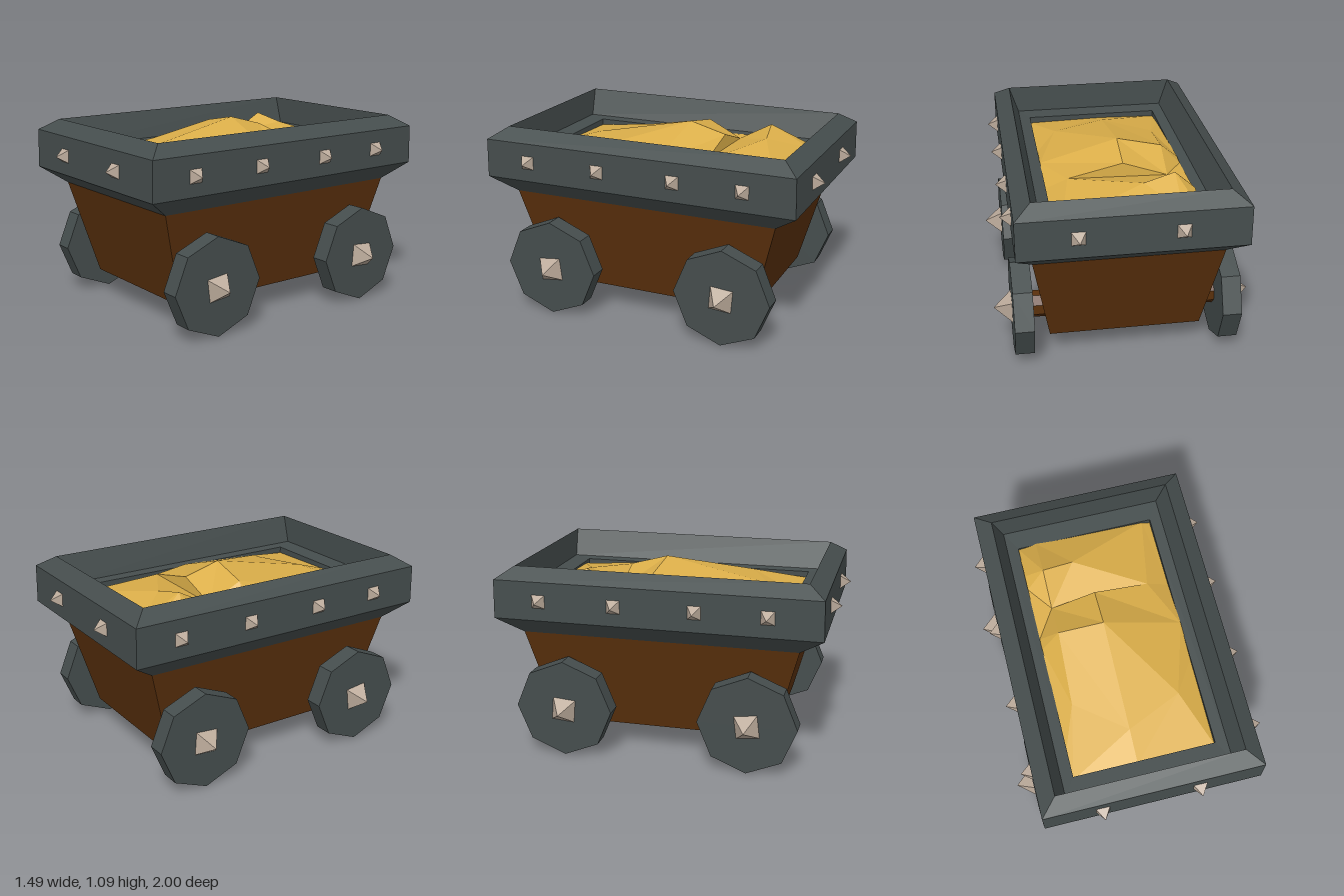
import * as THREE from 'three';

const mat = (name, color) => new THREE.MeshStandardMaterial({ name, color, flatShading: true });

// Surface through a list of rectangular rings [halfX, halfZ, y], profile running upward on the outside
function rectLoft(rings) {
  const corners = [[1, 1], [1, -1], [-1, -1], [-1, 1]];
  const at = ([hx, hz, y], i) => [corners[i % 4][0] * hx, y, corners[i % 4][1] * hz];
  const pos = [];
  for (let r = 0; r < rings.length - 1; r++) {
    for (let i = 0; i < 4; i++) {
      const a = at(rings[r], i), b = at(rings[r], i + 1);
      const c = at(rings[r + 1], i + 1), d = at(rings[r + 1], i);
      pos.push(...a, ...b, ...c, ...a, ...c, ...d);
    }
  }
  return fromPositions(pos);
}

function fromPositions(pos) {
  const g = new THREE.BufferGeometry();
  g.setAttribute('position', new THREE.Float32BufferAttribute(pos, 3));
  g.computeVertexNormals();
  return g;
}

// Lumpy gold heap: [x, y, z] points, rim first, then the peaks and dips
function heapGeometry() {
  const p = [
    [-0.41, 0.9, -0.73], [-0.3, 0.92, -0.73], [0.36, 0.9, -0.73], [0.41, 0.88, -0.73],
    [0.41, 0.89, -0.29], [0.41, 0.93, -0.02], [0.41, 0.9, 0.2], [0.41, 0.88, 0.73],
    [-0.04, 0.89, 0.73], [-0.41, 0.88, 0.73], [-0.41, 0.9, 0.56], [-0.41, 0.93, -0.05],
    [-0.41, 0.92, -0.12], [-0.41, 0.93, -0.44], [-0.41, 0.95, -0.52],
    [-0.3, 1.03, -0.09], [-0.04, 1.08, -0.07], [-0.3, 0.93, -0.29], [-0.04, 1.02, -0.29],
    [-0.3, 1.04, -0.49], [-0.12, 1.0, -0.52], [0.28, 0.95, -0.3], [0.28, 0.95, 0.4],
    [-0.04, 0.95, 0.54], [-0.32, 0.95, 0.32],
  ].map((v) => new THREE.Vector3(...v));
  const faces = [
    0, 1, 19, 0, 19, 14, 1, 2, 20, 1, 20, 19, 2, 3, 4, 2, 4, 21, 2, 21, 20, 14, 19, 13,
    13, 19, 17, 13, 17, 12, 19, 20, 17, 20, 21, 17, 17, 21, 18, 18, 21, 5, 21, 4, 5,
    18, 5, 16, 17, 18, 16, 17, 16, 15, 12, 17, 15, 12, 15, 11, 11, 15, 24, 11, 24, 10,
    15, 24, 23, 24, 10, 9, 24, 9, 23, 9, 8, 23, 15, 23, 16, 16, 23, 22, 16, 22, 5,
    5, 22, 6, 6, 22, 7, 22, 23, 8, 22, 8, 7,
  ];
  const pos = [];
  for (let i = 0; i < faces.length; i += 3) {
    let [a, b, c] = [p[faces[i]], p[faces[i + 1]], p[faces[i + 2]]];
    // keep every face turned upward
    if ((b.z - a.z) * (c.x - a.x) - (b.x - a.x) * (c.z - a.z) < 0) [b, c] = [c, b];
    for (const v of [a, b, c]) pos.push(v.x, v.y, v.z);
  }
  return fromPositions(pos);
}

// Four-sided spike with its base on the origin, pointing along +z
function spikeGeometry(width, length) {
  return new THREE.ConeGeometry(width / Math.SQRT2, length, 4)
    .rotateY(Math.PI / 4).translate(0, length / 2, 0).rotateX(Math.PI / 2);
}

export function createModel() {
  const wood = mat('brown wood', 0x5a300c);
  const iron = mat('dark iron', 0x454d4d);
  const gold = mat('gold', 0xdbae49);
  const stud = mat('pale metal', 0xbcab9b);

  const model = new THREE.Group();
  model.name = 'mineCart';
  const add = (name, geometry, material, x = 0, y = 0, z = 0) => {
    const mesh = new THREE.Mesh(geometry, material);
    mesh.name = name;
    mesh.position.set(x, y, z);
    model.add(mesh);
    return mesh;
  };

  // Tapered tub with closed floor
  add('tub', rectLoft([[0, 0, 0.145], [0.435, 0.65, 0.145], [0.53, 0.8, 0.7]]), wood);

  // Heavy bevelled rim with an inner ledge
  add('rim', rectLoft([
    [0.53, 0.8, 0.7], [0.625, 0.94, 0.8], [0.625, 0.935, 1.025], [0.53, 0.84, 1.09],
    [0.475, 0.835, 0.925], [0.408, 0.722, 0.92], [0.408, 0.722, 0.8],
  ]), iron);

  add('goldHeap', heapGeometry(), gold);

  // Axles, wheels and hub spikes
  const wheel = new THREE.CylinderGeometry(0.284, 0.284, 0.11, 8).rotateZ(Math.PI / 2);
  const axle = new THREE.CylinderGeometry(0.077, 0.077, 1.08, 8, 1, false, Math.PI / 8).rotateZ(Math.PI / 2);
  const hub = spikeGeometry(0.135, 0.105);
  for (const z of [0.535, -0.535]) {
    add('axle', axle, wood, 0, 0.285, z);
    for (const side of [1, -1]) {
      add('wheel', wheel, iron, side * 0.585, 0.285, z);
      const spike = add('hubSpike', hub, stud, side * 0.638, 0.28, z);
      spike.rotation.set(0, side * Math.PI / 2, z > 0 ? 0.12 : -0.08);
    }
  }

  // Rim studs: position along each wall
  const rivet = spikeGeometry(0.078, 0.062);
  const walls = [
    [0, [-0.29, 0.262], (t) => [t, 0.936]],
    [Math.PI, [-0.26, 0.295], (t) => [t, -0.936]],
    [Math.PI / 2, [0.67, 0.225, -0.235, -0.64], (t) => [0.624, t]],
    [-Math.PI / 2, [0.635, 0.23, -0.23, -0.67], (t) => [-0.624, t]],
  ];
  for (const [turn, spots, place] of walls) {
    for (const t of spots) {
      const [x, z] = place(t);
      add('rimStud', rivet, stud, x, 0.912, z).rotation.y = turn;
    }
  }
  return model;
}
